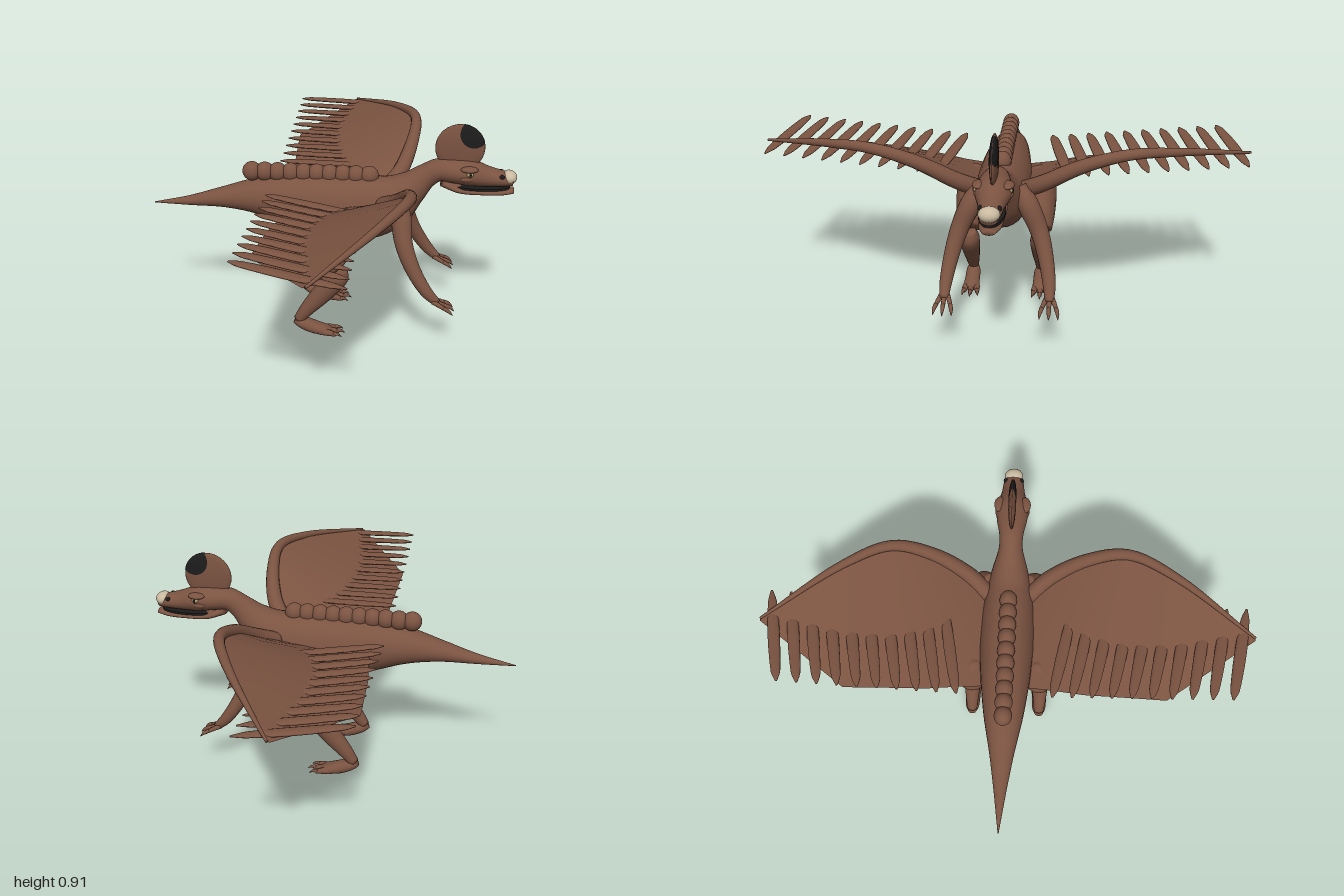
import * as THREE from 'three';

const V = (x, y, z) => new THREE.Vector3(x, y, z);
const material = (name, color) => {
  const m = new THREE.MeshStandardMaterial({ color, side: THREE.DoubleSide });
  m.name = name;
  return m;
};

// Smooth tapered body along points [x, y, z, radius, sideRadius]
function limb(pts, ref = V(0, 0, 1), sides = 20, steps = 6) {
  const path = new THREE.CatmullRomCurve3(pts.map((p) => V(p[0], p[1], p[2])));
  const size = new THREE.CatmullRomCurve3(pts.map((p, i) => V(p[3], p[4] ?? p[3], i * 0.05)));
  const n = (pts.length - 1) * steps;
  const pos = [], idx = [];
  for (let i = -1; i <= n + 1; i++) {
    const t = Math.min(Math.max(i / n, 0), 1);
    const c = path.getPoint(t), r = size.getPoint(t), tan = path.getTangent(t);
    const up = ref.clone().cross(tan).normalize();
    const side = tan.clone().cross(up);
    const k = i < 0 || i > n ? 0 : 1; // closed ends
    for (let j = 0; j < sides; j++) {
      const a = (j / sides) * Math.PI * 2;
      const p = c.clone().addScaledVector(up, k * r.x * Math.cos(a)).addScaledVector(side, k * r.y * Math.sin(a));
      pos.push(p.x, p.y, p.z);
    }
  }
  for (let i = 0; i < n + 2; i++) {
    for (let j = 0; j < sides; j++) {
      const a = i * sides + j, b = i * sides + ((j + 1) % sides);
      idx.push(a, b, a + sides, b, b + sides, a + sides);
    }
  }
  const g = new THREE.BufferGeometry();
  g.setAttribute('position', new THREE.Float32BufferAttribute(pos, 3));
  g.setIndex(idx);
  g.computeVertexNormals();
  return g;
}

// Flat sheet spanned between two rows of points
function sheet(front, back, columns = 5) {
  const pos = [], idx = [], w = columns + 1;
  front.forEach((f, i) => {
    for (let j = 0; j <= columns; j++) {
      const p = V(...f).lerp(V(...back[i]), j / columns);
      pos.push(p.x, p.y, p.z);
      if (i && j) {
        const a = i * w + j;
        idx.push(a - w - 1, a - 1, a - w, a - 1, a, a - w);
      }
    }
  });
  const g = new THREE.BufferGeometry();
  g.setAttribute('position', new THREE.Float32BufferAttribute(pos, 3));
  g.setIndex(idx);
  g.computeVertexNormals();
  return g;
}

export function createModel() {
  const model = new THREE.Group();
  const brown = material('brownHide', 0x7b5341);
  const tan = material('paleHorn', 0xc9baa0);
  const black = material('black', 0x1c1c1c);
  const amber = material('eyeAmber', 0xb39a68);

  const add = (name, geo, mat = brown) => {
    const m = new THREE.Mesh(geo, mat);
    m.name = name;
    model.add(m);
    return m;
  };
  const ball = (name, c, r, mat = brown) => {
    const m = add(name, new THREE.SphereGeometry(1, 24, 16), mat);
    m.position.set(...c);
    m.scale.set(...r);
    return m;
  };

  // Tail, trunk, neck and upper head in one skin
  add('body', limb([
    [-0.76, 0.52, 0, 0.002], [-0.6, 0.537, 0, 0.021, 0.025], [-0.45, 0.56, 0, 0.045, 0.05],
    [-0.3, 0.572, 0, 0.08, 0.08], [-0.15, 0.56, 0, 0.115, 0.1], [0, 0.545, 0, 0.135, 0.112],
    [0.15, 0.542, 0, 0.14, 0.112], [0.25, 0.575, 0, 0.118, 0.098], [0.33, 0.635, 0, 0.075, 0.072],
    [0.39, 0.69, 0, 0.052, 0.05], [0.44, 0.72, 0, 0.047, 0.05], [0.5, 0.722, 0, 0.05, 0.062],
    [0.57, 0.715, 0, 0.053, 0.067], [0.64, 0.702, 0, 0.042, 0.05], [0.7, 0.695, 0, 0.032, 0.042],
    [0.745, 0.69, 0, 0.024, 0.032],
  ], V(0, 0, 1), 28));

  // Jaw, mouth and nose
  add('lowerJaw', limb([
    [0.46, 0.675, 0, 0.02, 0.045], [0.53, 0.648, 0, 0.017, 0.05], [0.62, 0.64, 0, 0.014, 0.045],
    [0.7, 0.641, 0, 0.014, 0.04], [0.752, 0.645, 0, 0.011, 0.025],
  ]));
  const mouth = add('mouth', new THREE.CylinderGeometry(0.5, 0.5, 0.009, 32), black);
  mouth.scale.set(0.25, 1, 0.098);
  mouth.position.set(0.61, 0.658, 0);
  ball('noseHorn', [0.728, 0.702, 0], [0.033, 0.028, 0.039], tan);

  // Flat round crest with a dark patch on each face
  const crest = { x: 0.525, y: 0.82, r: 0.1, d: 0.016 };
  ball('crest', [crest.x, crest.y, 0], [crest.r, crest.r, crest.d]);
  for (const s of [1, -1]) {
    const g = new THREE.RingGeometry(0.0001, 0.058, 40, 10);
    const p = g.attributes.position;
    for (let i = 0; i < p.count; i++) {
      const v = new THREE.Vector2(p.getX(i) * s + 0.055, p.getY(i) + 0.062);
      v.clampLength(0, crest.r);
      const z = crest.d * Math.sqrt(Math.max(0, 1 - v.lengthSq() / crest.r ** 2)) + 0.0012;
      p.setXYZ(i, crest.x + v.x * 1.01, crest.y + v.y * 1.01, s * z);
    }
    g.computeVertexNormals();
    add('crestPatch', g, black);
  }

  // Row of rounded plates along the back
  for (let i = 0; i < 10; i++) {
    ball('backBead', [-0.33 + i * 0.0545, 0.683, 0], [0.04, 0.041, 0.036]);
  }

  for (const s of [1, -1]) {
    const mir = (pts) => pts.map(([x, y, z, ...r]) => [x, y, z * s, ...r]);

    // Face
    ball('brow', [0.565, 0.746, 0.052 * s], [0.036, 0.012, 0.024]);
    ball('cheek', [0.555, 0.708, 0.05 * s], [0.035, 0.016, 0.022]);
    ball('eye', [0.568, 0.729, 0.06 * s], [0.014, 0.011, 0.012], amber);
    ball('pupil', [0.57, 0.729, 0.069 * s], [0.005, 0.009, 0.005], black);
    ball('nostril', [0.698, 0.713, 0.034 * s], [0.011, 0.009, 0.009], black);

    // Wing: leading bone, membrane and feathers
    const lead = [
      [0.22, 0.585, 0.08, 0.036], [0.285, 0.645, 0.17, 0.033], [0.33, 0.735, 0.32, 0.027],
      [0.335, 0.785, 0.48, 0.022], [0.25, 0.772, 0.67, 0.017], [0.03, 0.7, 0.995, 0.005],
    ];
    add('wingBone', limb(mir(lead), V(0, 1, 0), 14));
    const trail = [
      [-0.17, 0.55, 0.09], [-0.18, 0.56, 0.19], [-0.2, 0.58, 0.32],
      [-0.21, 0.6, 0.48], [-0.22, 0.615, 0.65], [0.02, 0.697, 0.995],
    ];
    add('wingMembrane', sheet(mir(lead.map((p) => p.slice(0, 3))), mir(trail)));
    for (let i = 0; i < 10; i++) {
      const t = i / 9;
      const y = 0.64 + 0.065 * t, z = 0.19 + 0.7 * t;
      add('feather', limb(mir([
        [-0.24, y + 0.018, z, 0.002, 0.004], [-0.2, y + 0.015, z + 0.008, 0.007, 0.019],
        [-0.04, y, z + 0.04, 0.009, 0.025], [0.11, y - 0.013, z + 0.068, 0.007, 0.018],
        [0.16, y - 0.018, z + 0.078, 0.002, 0.004],
      ]), V(0, 0, 1), 10, 3));
    }

    // Arm with three clawed fingers
    add('arm', limb(mir([
      [0.27, 0.62, 0.075, 0.03], [0.298, 0.56, 0.11, 0.042], [0.315, 0.46, 0.155, 0.037],
      [0.355, 0.36, 0.185, 0.031], [0.415, 0.265, 0.203, 0.025], [0.46, 0.218, 0.205, 0.017],
    ])));
    for (const k of [-1, 0, 1]) {
      const z = 0.205 + k * 0.011, reach = k ? 0 : 0.006;
      add('finger', limb(mir([
        [0.445, 0.225, z, 0.011], [0.475, 0.213, z + k * 0.012, 0.009], [0.502 + reach, 0.2, z + k * 0.02, 0.007],
      ]), V(0, 1, 0), 10, 3));
      add('fingerClaw', limb(mir([
        [0.49, 0.207, z + k * 0.017, 0.009], [0.512 + reach, 0.196, z + k * 0.023, 0.007],
        [0.528 + reach, 0.18, z + k * 0.025, 0.001],
      ]), V(0, 1, 0), 10, 3));
    }

    // Leg
    add('thigh', limb(mir([
      [-0.115, 0.555, 0.12, 0.04, 0.03], [-0.092, 0.515, 0.135, 0.085, 0.07], [-0.05, 0.45, 0.145, 0.092, 0.07],
      [0.01, 0.38, 0.15, 0.076, 0.06], [0.05, 0.335, 0.152, 0.05, 0.048],
    ])));
    add('shin', limb(mir([
      [0.06, 0.325, 0.152, 0.03], [0.045, 0.285, 0.152, 0.048, 0.043], [-0.02, 0.2, 0.152, 0.043, 0.038],
      [-0.085, 0.12, 0.153, 0.031, 0.029], [-0.12, 0.07, 0.153, 0.022],
    ])));
    add('foot', limb(mir([
      [-0.135, 0.07, 0.153, 0.018], [-0.105, 0.056, 0.153, 0.026, 0.03], [-0.05, 0.035, 0.153, 0.027, 0.033],
      [0, 0.026, 0.153, 0.018, 0.033], [0.02, 0.022, 0.153, 0.01, 0.02],
    ])));
    for (const k of [-1, 0, 1]) {
      const z = 0.153 + k * 0.019, reach = k ? 0 : 0.012;
      add('toe', limb(mir([
        [-0.03, 0.024, z, 0.014], [0.01, 0.024, z + k * 0.006, 0.014], [0.042 + reach, 0.02, z + k * 0.011, 0.009],
      ]), V(0, 1, 0), 10, 3));
      add('toeClaw', limb(mir([
        [0.032 + reach, 0.024, z + k * 0.01, 0.009], [0.052 + reach, 0.023, z + k * 0.013, 0.006],
        [0.068 + reach, 0.014, z + k * 0.015, 0.001],
      ]), V(0, 1, 0), 10, 3));
    }
  }
  return model;
}
